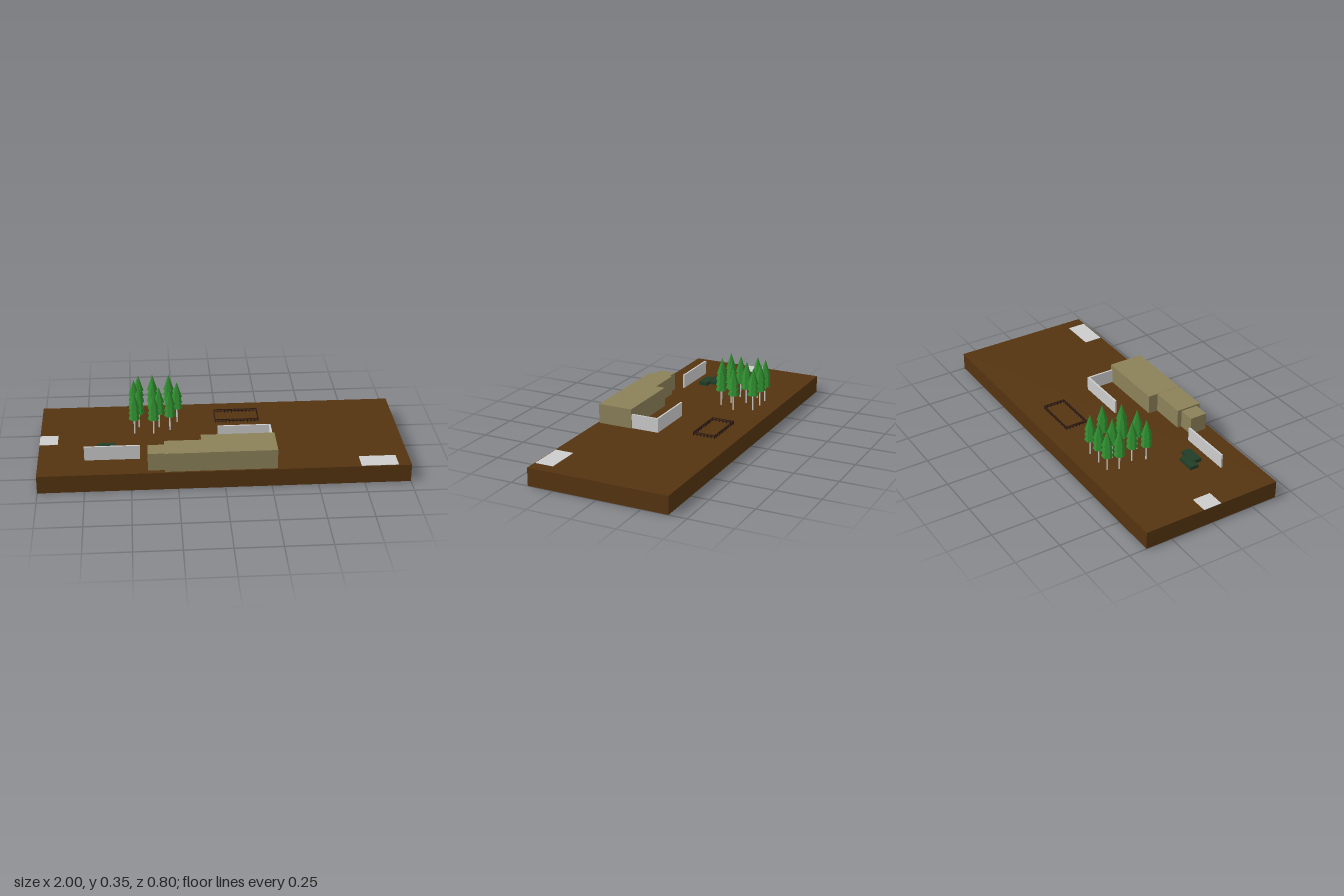
import * as THREE from 'three';

const material = (name, color, flatShading = false) => {
  const m = new THREE.MeshStandardMaterial({ color, flatShading });
  m.name = name;
  return m;
};

export function createModel() {
  const root = new THREE.Group();
  root.name = 'farmYard';
  const soil = material('soil brown', 0x553410);
  const tan = material('building tan', 0x8b8159);
  const concrete = material('concrete grey', 0xcccccc);
  const leaf = material('leaf green', 0x2f8d2f, true);
  const shrub = material('dark green', 0x1f3d27);
  const wood = material('dark wood', 0x2b1a12);
  const TOP = 0.1;

  // Box given by its minimum and maximum corner
  function block(name, mat, x0, x1, y0, y1, z0, z1, parent = root) {
    const mesh = new THREE.Mesh(new THREE.BoxGeometry(x1 - x0, y1 - y0, z1 - z0), mat);
    mesh.position.set((x0 + x1) / 2, (y0 + y1) / 2, (z0 + z1) / 2);
    mesh.name = name;
    parent.add(mesh);
    return mesh;
  }

  // Ground slab and paved pads
  block('ground', soil, -1, 1, 0, TOP, -0.4, 0.4);
  block('sidePad', concrete, -1, -0.9, TOP, 0.102, -0.055, 0.05);
  block('frontPad', concrete, 0.73, 0.93, TOP, 0.102, 0.29, 0.395);

  // Stepped building
  block('mainBuilding', tan, -0.12, 0.28, TOP, 0.21, 0.19, 0.39);
  block('middleBuilding', tan, -0.32, -0.12, TOP, 0.209, 0.245, 0.39);
  block('endBuilding', tan, -0.41, -0.32, TOP, 0.2, 0.27, 0.37);

  // Thin yard walls
  block('yardBackWall', concrete, -0.02, 0.275, TOP, 0.18, 0.03, 0.04);
  block('yardSideWall', concrete, 0.265, 0.275, TOP, 0.18, 0.04, 0.19);
  block('freeWall', concrete, -0.75, -0.45, TOP, 0.18, 0.227, 0.237);

  // Low hedge of two overlapping clumps
  block('hedgeBack', shrub, -0.685, -0.58, TOP, 0.118, 0.08, 0.13);
  block('hedgeFront', shrub, -0.647, -0.54, TOP, 0.12, 0.122, 0.175);

  // Fence: two rails and evenly spaced posts around a rectangle
  const fence = new THREE.Group();
  fence.name = 'fence';
  root.add(fence);
  const [fx0, fx1, fz0, fz1, t] = [-0.02, 0.225, -0.283, -0.158, 0.002];
  for (const y of [0.11, 0.119]) {
    for (const z of [fz0, fz1]) block('rail', wood, fx0 - t, fx1 + t, y - t, y + t, z - t, z + t, fence);
    for (const x of [fx0, fx1]) block('rail', wood, x - t, x + t, y - t, y + t, fz0, fz1, fence);
  }
  const post = (x, z) => block('post', wood, x - t, x + t, TOP, 0.121, z - t, z + t, fence);
  for (let i = 0; i <= 12; i++) {
    const x = fx0 + (fx1 - fx0) * i / 12;
    post(x, fz0);
    post(x, fz1);
  }
  for (let i = 1; i < 6; i++) {
    const z = fz0 + (fz1 - fz0) * i / 6;
    post(fx0, z);
    post(fx1, z);
  }

  // Trees: pale trunk with three stacked six-sided cones
  const trunkGeo = new THREE.CylinderGeometry(0.0045, 0.0045, 0.1, 8);
  const tiers = [[0.19, 0.032], [0.222, 0.031], [0.255, 0.03]];
  const spots = [
    [-0.45, -0.288], [-0.37, -0.291], [-0.278, -0.287], [-0.476, -0.229],
    [-0.37, -0.207], [-0.235, -0.186], [-0.45, -0.135], [-0.337, -0.127],
    [-0.278, -0.091], [-0.476, -0.062], [-0.37, -0.053],
  ];
  for (const [x, z] of spots) {
    const tree = new THREE.Group();
    tree.name = 'tree';
    tree.position.set(x, 0, z);
    const trunk = new THREE.Mesh(trunkGeo, concrete);
    trunk.name = 'trunk';
    trunk.position.y = 0.15;
    tree.add(trunk);
    for (const [y, r] of tiers) {
      const cone = new THREE.Mesh(new THREE.ConeGeometry(r, 0.095, 6), leaf);
      cone.name = 'foliage';
      cone.position.y = y + 0.0475;
      cone.rotation.y = Math.PI / 6;
      tree.add(cone);
    }
    root.add(tree);
  }
  return root;
}
